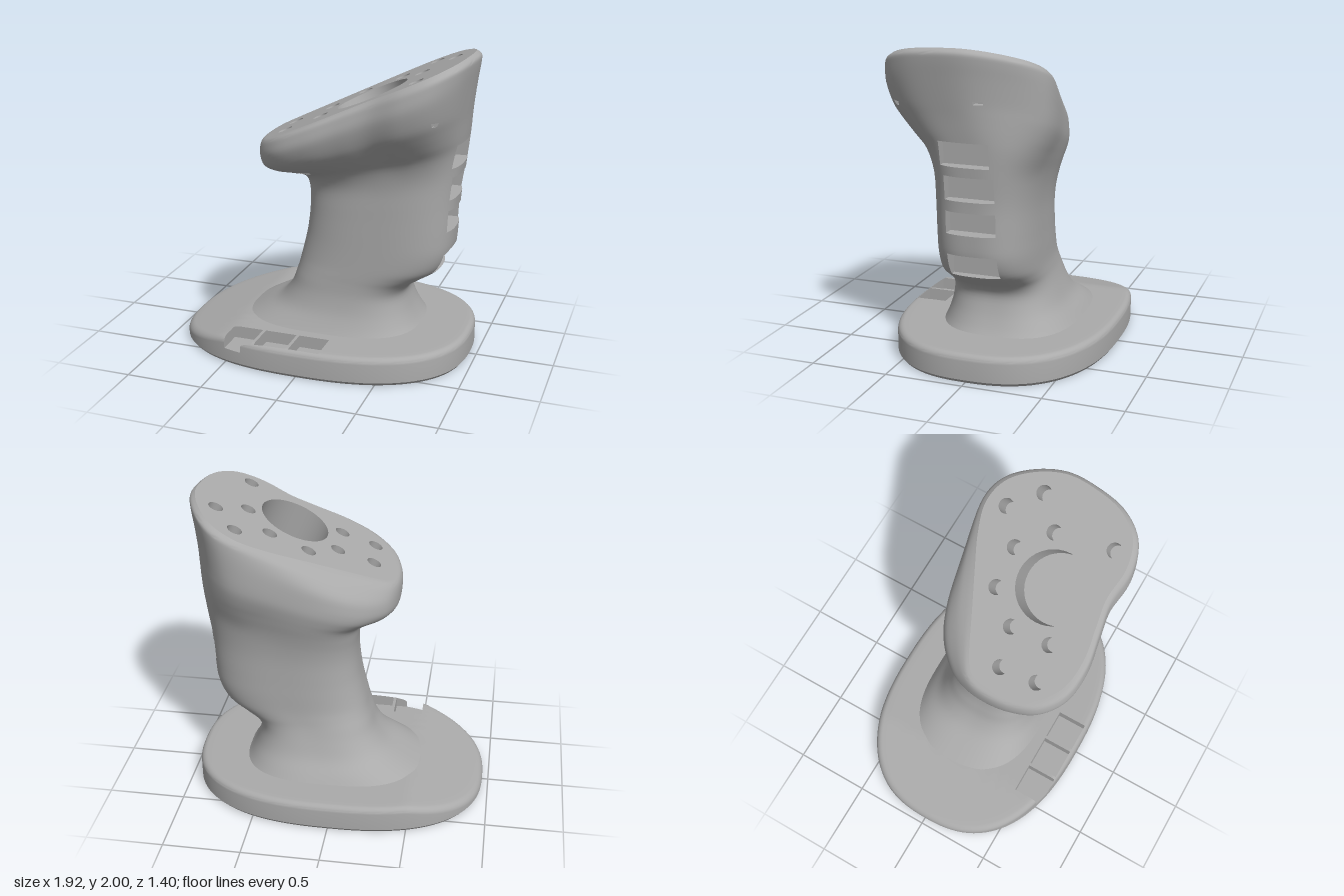
import * as THREE from 'three';
import { toCreasedNormals } from 'three/addons/utils/BufferGeometryUtils.js';

const grey = new THREE.MeshStandardMaterial({ color: 0xaaaaaa, side: THREE.DoubleSide });
grey.name = 'matte grey';
const N = 112; // points around each loft ring

// Skin a list of closed rings (clockwise from above, ordered bottom to top)
function loft(rings, crease) {
  const index = [];
  for (let j = 0; j < rings.length - 1; j++)
    for (let i = 0; i < N; i++) {
      const k = (i + 1) % N, a = j * N + i, b = j * N + k, c = a + N, d = b + N;
      index.push(a, c, b, b, c, d);
    }
  const geo = new THREE.BufferGeometry().setFromPoints(rings.flat());
  geo.setIndex(index);
  return toCreasedNormals(geo, crease);
}

// Sink box-shaped pockets, open towards +axis (0 x, 1 y, 2 z), into a surface
function cutPockets(geo, pockets) {
  const P = geo.attributes.position, M = geo.attributes.normal;
  let polys = [];
  const extra = [];
  for (let i = 0; i < P.count; i += 3)
    polys.push([i, i + 1, i + 2].map(v =>
      [P.getX(v), P.getY(v), P.getZ(v), M.getX(v), M.getY(v), M.getZ(v)]));

  const addFlat = pts => {
    const [a, b, c] = pts.map(p => new THREE.Vector3(p[0], p[1], p[2]));
    const n = b.clone().sub(a).cross(c.clone().sub(a));
    if (n.length() < 1e-9) return;
    n.normalize();
    extra.push(pts.map(p => [p[0], p[1], p[2], n.x, n.y, n.z]));
  };
  // Part of a polygon where sign * (coordinate - limit) >= 0
  const clip = (poly, ax, limit, sign) => {
    const out = [];
    poly.forEach((p, i) => {
      const q = poly[(i + 1) % poly.length];
      const dp = sign * (p[ax] - limit), dq = sign * (q[ax] - limit);
      if (dp >= 0) out.push(p);
      if ((dp > 0 && dq < 0) || (dp < 0 && dq > 0))
        out.push(p.map((v, k) => v + (q[k] - v) * dp / (dp - dq)));
    });
    return out;
  };

  for (const { axis, min, max } of pockets) {
    const planes = [];
    for (let ax = 0; ax < 3; ax++) {
      planes.push([ax, min[ax], 1]);
      if (ax !== axis) planes.push([ax, max[ax], -1]);
    }
    const kept = [];
    for (const poly of polys) {
      if (planes.some(([ax, lim, s]) => poly.every(p => s * (p[ax] - lim) <= 0))) {
        kept.push(poly);
        continue;
      }
      let inside = poly;
      for (const [ax, lim, s] of planes) {
        const outside = clip(inside, ax, lim, -s);
        if (outside.length > 2) kept.push(outside);
        inside = clip(inside, ax, lim, s);
        if (inside.length < 3) break;
      }
      if (inside.length < 3) continue;
      // The removed piece becomes the floor, its border edges become walls
      const floor = inside.map(p => p.map((v, k) => (k === axis ? min[axis] : v)));
      for (let i = 1; i < floor.length - 1; i++) addFlat([floor[0], floor[i], floor[i + 1]]);
      inside.forEach((p, i) => {
        const k = (i + 1) % inside.length, q = inside[k];
        const onWall = planes.some(([ax, lim]) => ax !== axis &&
          Math.abs(p[ax] - lim) < 1e-6 && Math.abs(q[ax] - lim) < 1e-6);
        if (onWall) {
          addFlat([p, q, floor[k]]);
          addFlat([p, floor[k], floor[i]]);
        }
      });
    }
    polys = kept;
  }

  const pos = [], nor = [];
  for (const poly of polys.concat(extra))
    for (let i = 1; i < poly.length - 1; i++)
      for (const p of [poly[0], poly[i], poly[i + 1]]) {
        pos.push(p[0], p[1], p[2]);
        nor.push(p[3], p[4], p[5]);
      }
  const out = new THREE.BufferGeometry();
  out.setAttribute('position', new THREE.Float32BufferAttribute(pos, 3));
  out.setAttribute('normal', new THREE.Float32BufferAttribute(nor, 3));
  return out;
}

// Point on a unit superellipse in direction (c, s)
function superellipse(c, s, n) {
  const r = Math.pow(Math.abs(c) ** n + Math.abs(s) ** n, -1 / n);
  return new THREE.Vector2(c * r, s * r);
}

// Head outlines (x, z): the rim at the top and the wider flare below it
const rimPts = [[-.36, .15], [-.335, .02], [-.24, -.06], [0, -.18], [.2, -.28], [.42, -.385],
  [.6, -.43], [.76, -.375], [.88, -.22], [.95, -.02], [.945, .2], [.9, .4], [.79, .55],
  [.62, .605], [.42, .58], [.25, .605], [.05, .635], [-.14, .605], [-.28, .49], [-.345, .32]];
const flareBack = { 1: [-.34, 0], 2: [-.28, -.13], 3: [-.15, -.26], 4: [.03, -.345], 5: [.3, -.395] };

// Closed outline scaled to the range -1..1
function unitOutline(pts) {
  const curve = new THREE.CatmullRomCurve3(
    pts.map(([x, z]) => new THREE.Vector3((x - .297) / .657, (z - .1025) / .5325, 0)), true, 'catmullrom', .5);
  return Array.from({ length: N }, (_, i) => curve.getPoint(i / N));
}

// Grip sections: xLow, yLow, xHigh, yHigh, zBack, zFront, shape (0 grip, 1 flare, 2 rim)
const sections = [
  [-.61, .13, .64, .16, -.49, .42, 0], [-.45, .22, .6, .22, -.44, .38, 0],
  [-.32, .3, .56, .31, -.38, .345, 0], [-.24, .4, .54, .41, -.34, .325, 0],
  [-.2, .5, .58, .48, -.315, .32, 0], [-.18, .56, .67, .54, -.305, .32, 0],
  [-.165, .62, .77, .61, -.3, .32, 0], [-.14, .72, .825, .72, -.3, .32, 0],
  [-.12, .82, .84, .86, -.3, .32, 0], [-.105, .96, .85, 1.06, -.305, .32, 0],
  [-.11, 1.09, .87, 1.25, -.33, .325, 0], [-.14, 1.17, .885, 1.4, -.375, .37, .3],
  [-.22, 1.2, .897, 1.5, -.405, .45, .6], [-.3, 1.22, .908, 1.6, -.425, .53, .85],
  [-.35, 1.26, .92, 1.69, -.43, .59, 1], [-.362, 1.33, .94, 1.83, -.43, .63, 1.1],
  [-.36, 1.39, .955, 1.93, -.425, .627, 1.5], [-.345, 1.425, .955, 1.975, -.415, .615, 1.85],
  [-.315, 1.443, .925, 1.998, -.385, .585, 2]];

function gripRings() {
  const rim = unitOutline(rimPts), flare = unitOutline(rimPts.map((p, i) => flareBack[i] || p));
  const body = rim.map(p => superellipse(p.x, p.y, 2.8));
  const columns = sections[0].map((_, c) =>
    new THREE.SplineCurve(sections.map((s, i) => new THREE.Vector2(i, s[c]))));
  const steps = (sections.length - 1) * 4;
  return Array.from({ length: steps + 1 }, (_, j) => {
    const [xL, yL, xH, yH, zB, zF, k] = columns.map(c => c.getPoint(j / steps).y);
    const [from, to, t] = k <= 1 ? [body, flare, Math.max(k, 0)] : [flare, rim, Math.min(k - 1, 1)];
    return from.map((p, i) => {
      const u = (p.x + (to[i].x - p.x) * t + 1) / 2, v = (p.y + (to[i].y - p.y) * t + 1) / 2;
      return new THREE.Vector3(xL + (xH - xL) * u, yL + (yH - yL) * u, zB + (zF - zB) * v);
    });
  });
}

// Oval foot plate, its top sloping down towards -x
function baseRings() {
  const top = x => .18 - .24 * Math.max(0, -.5 - x);
  const ring = (inset, y) => Array.from({ length: N }, (_, i) => {
    const a = i / N * Math.PI * 2, p = superellipse(-Math.cos(a), -Math.sin(a), 2.5);
    const s = Math.max(0, 1 - inset / .7);
    const x = p.x * Math.max(0, s === 0 ? 0 : .96 - inset * (inset > .1 ? .96 / .7 : 1)), z = p.y * .7 * s;
    return new THREE.Vector3(x, y(x), z);
  });
  const rings = [ring(.7, () => 0), ring(.015, () => 0), ring(0, () => .02)];
  for (let i = 0; i <= 6; i++) { // rounded upper edge
    const a = i / 6 * Math.PI / 2;
    rings.push(ring(.04 * (1 - Math.cos(a)), x => top(x) - .04 * (1 - Math.sin(a))));
  }
  for (const d of [.08, .12, .17, .22, .27, .33, .4, .5, .6, .7]) rings.push(ring(d, top));
  return rings;
}

export function createModel() {
  const model = new THREE.Group();
  const add = (name, geo, parent = model) => {
    const mesh = new THREE.Mesh(geo, grey);
    mesh.name = name;
    parent.add(mesh);
    return mesh;
  };

  // Base with three pockets along its front edge
  add('base', cutPockets(loft(baseRings(), .5), [[-.5, -.3], [-.28, -.07], [-.05, .15]].map(
    ([a, b]) => ({ axis: 1, min: [a, .1, .47], max: [b, 1, .672] }))));

  // Grip with four finger-side pockets and small vent openings
  const rings = gripRings();
  const sidePockets = [[1.3, 1.45, .79, -.13], [1.09, 1.24, .77, -.15], [.88, 1.02, .75, -.15], [.6, .75, .7, -.15]]
    .map(([y0, y1, x, z]) => ({ axis: 0, min: [x, y0, z], max: [2, y1, z + .315] }));
  const vents = [
    { axis: 0, min: [.78, 1.63, .455], max: [2, 1.655, .505] },
    { axis: 0, min: [.86, 1.68, -.11], max: [2, 1.7, -.05] },
    { axis: 2, min: [-.07, 1.232, .37], max: [0, 1.252, 2] }];
  add('grip', cutPockets(loft(rings, 1.2), [...sidePockets, ...vents]));

  // Slanted top face with one large socket and ten button holes
  const [xL, yL, xH, yH] = sections[sections.length - 1];
  const tilt = Math.atan2(yH - yL, xH - xL), cos = Math.cos(tilt);
  const head = new THREE.Group();
  head.name = 'head';
  head.rotation.z = tilt;
  head.position.y = yL - xL * Math.tan(tilt);
  model.add(head);

  const face = new THREE.Shape(rings[rings.length - 1].map(p => new THREE.Vector2(p.x / cos, -p.z)));
  const drill = (name, x, z, r, depth) => {
    const u = x / cos;
    face.holes.push(new THREE.Path().absarc(u, -z, r, 0, Math.PI * 2));
    add(name + 'Wall', new THREE.CylinderGeometry(r, r, depth, 40, 1, true), head).position.set(u, -depth / 2, z);
    add(name + 'Floor', new THREE.CircleGeometry(r, 40).rotateX(-Math.PI / 2), head).position.set(u, -depth, z);
  };
  drill('socket', .34, .22, .23, .31);
  for (const [x, z] of [[.62, -.26], [.2, -.09], [.44, -.1], [.775, -.09], [-.18, .155],
    [.045, .1], [.61, .075], [-.16, .395], [.055, .36], [.67, .445]])
    drill('buttonHole', x, z, .048, .22);
  add('topFace', new THREE.ShapeGeometry(face, 20).rotateX(-Math.PI / 2), head);
  return model;
}
